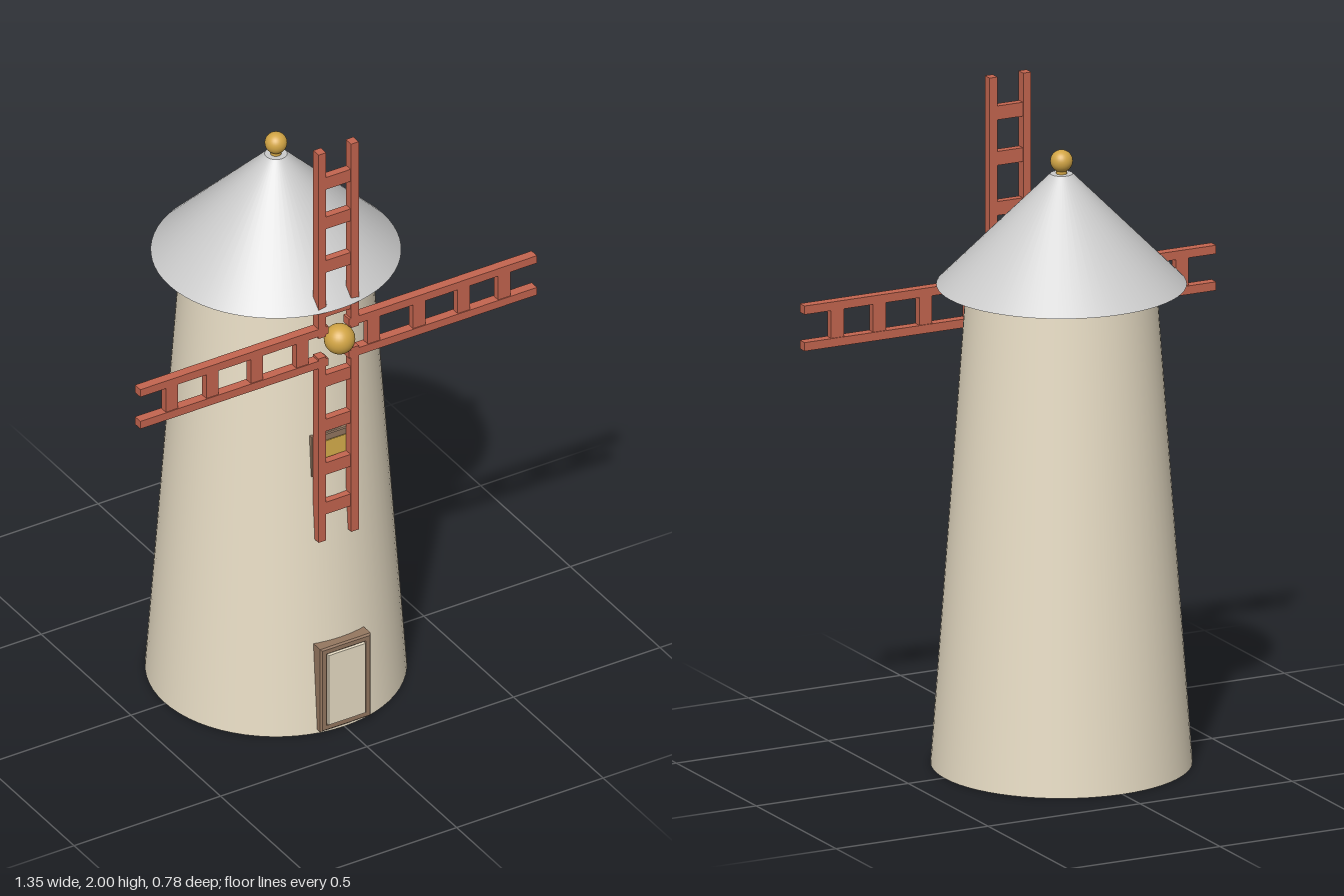
import * as THREE from 'three';

const mat = (color) => new THREE.MeshStandardMaterial({ color });

export function createModel() {
  const model = new THREE.Group();
  model.name = 'windmill';
  const plaster = mat(0xe9dec6), grey = mat(0xcccccc), red = mat(0xc4654f);
  const gold = mat(0xd2a545), wood = mat(0x947760), glass = mat(0xd9b04c);
  const axisZ = -0.008;

  const add = (parent, name, geometry, material, x, y, z) => {
    const mesh = new THREE.Mesh(geometry, material);
    mesh.name = name;
    mesh.position.set(x, y, z);
    parent.add(mesh);
    return mesh;
  };
  const box = (parent, name, w, h, d, material, x, y, z) =>
    add(parent, name, new THREE.BoxGeometry(w, h, d), material, x, y, z);

  // Tapered round tower, conical roof and its finial
  add(model, 'tower', new THREE.CylinderGeometry(0.278, 0.382, 1.45, 64), plaster, 0, 0.725, axisZ);
  add(model, 'roof', new THREE.CylinderGeometry(0.033, 0.365, 0.335, 64), grey, 0, 1.6175, axisZ);
  add(model, 'finialNeck', new THREE.CylinderGeometry(0.016, 0.016, 0.03, 24), gold, 0, 1.79, axisZ);
  add(model, 'finialBall', new THREE.SphereGeometry(0.033, 32, 20), gold, 0, 1.823, axisZ);

  // Four ladder-like sails around the hub
  const sails = new THREE.Group();
  sails.name = 'sails';
  sails.position.set(0, 1.323, 0.327);
  model.add(sails);
  const start = 0.035, end = 0.677;
  for (let i = 0; i < 4; i++) {
    const sail = new THREE.Group();
    sail.name = 'sail';
    sail.rotation.z = i * Math.PI / 2;
    for (const side of [-1, 1])
      box(sail, 'rail', 0.026, end - start, 0.03, red, side * 0.0555, (start + end) / 2, 0);
    for (const r of [0.122, 0.277, 0.429, 0.567])
      box(sail, 'rung', 0.09, 0.042, 0.024, red, 0, r, 0);
    sails.add(sail);
  }
  add(sails, 'hub', new THREE.SphereGeometry(0.046, 32, 20), gold, 0.012, 0, 0);

  // Rectangular frame with a bevelled outer edge
  const frame = (name, w, h, inW, inH, depth, bevel, x, y, front) => {
    const a = w / 2 - bevel, b = h / 2 - bevel;
    const shape = new THREE.Shape([[-a, -b], [a, -b], [a, b], [-a, b]].map((p) => new THREE.Vector2(...p)));
    const c = inW / 2 + bevel, d = inH / 2 + bevel;
    shape.holes.push(new THREE.Path([[-c, -d], [-c, d], [c, d], [c, -d]].map((p) => new THREE.Vector2(...p))));
    const geometry = new THREE.ExtrudeGeometry(shape, {
      depth: depth - 2 * bevel, bevelSize: bevel, bevelThickness: bevel, bevelSegments: 1,
    });
    add(model, name, geometry, wood, x, y, front - depth + bevel);
  };

  // Door
  frame('doorFrame', 0.172, 0.288, 0.124, 0.24, 0.06, 0.005, 0, 0.156, 0.384);
  box(model, 'doorPanel', 0.125, 0.242, 0.06, plaster, 0, 0.156, 0.36);

  // Window behind the lower sail
  frame('windowFrame', 0.142, 0.138, 0.09, 0.086, 0.04, 0.003, 0, 0.926, 0.311);
  box(model, 'windowPane', 0.092, 0.088, 0.03, glass, 0, 0.926, 0.2965);

  return model;
}
